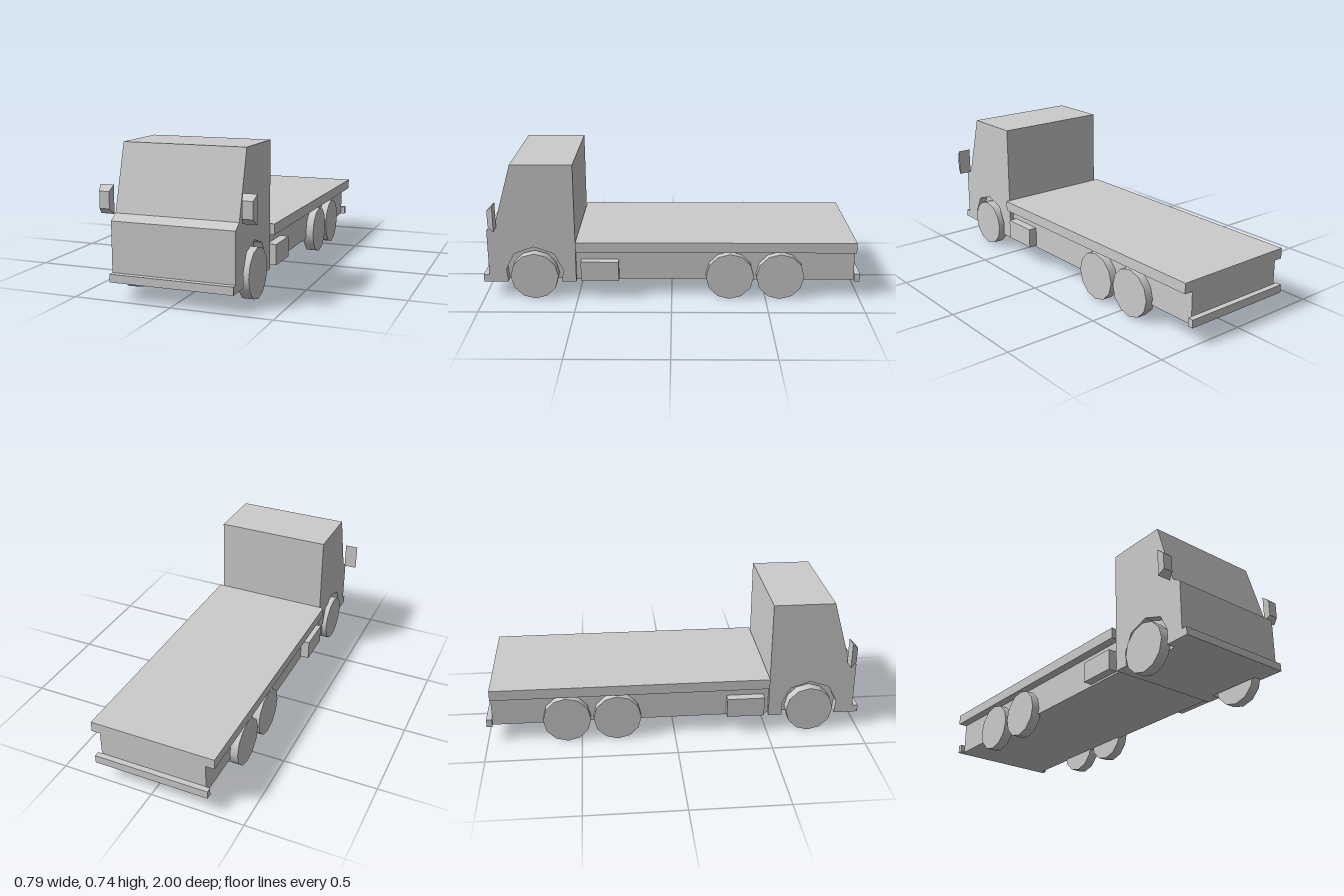
import * as THREE from 'three';

export function createModel() {
  const truck = new THREE.Group();
  const mat = new THREE.MeshStandardMaterial({ color: 0xcccccc });

  function add(name, geo, x = 0, y = 0, z = 0) {
    const mesh = new THREE.Mesh(geo, mat);
    mesh.name = name;
    mesh.position.set(x, y, z);
    truck.add(mesh);
    return mesh;
  }

  // box given by its limits on each axis
  function box(name, [x0, x1], [y0, y1], [z0, z1]) {
    return add(name, new THREE.BoxGeometry(x1 - x0, y1 - y0, z1 - z0),
      (x0 + x1) / 2, (y0 + y1) / 2, (z0 + z1) / 2);
  }

  // side profile of (z, y) points, extruded across x from x0 to x1
  function slab(name, points, x0, x1) {
    const shape = new THREE.Shape(points.map(p => new THREE.Vector2(...p)));
    const geo = new THREE.ExtrudeGeometry(shape, { depth: x1 - x0, bevelEnabled: false });
    geo.rotateY(-Math.PI / 2);
    return add(name, geo, x1);
  }

  // cab: solid core, with side panels that carry the wheel arches
  const outline = [[1, 0.09], [1, 0.13], [0.97, 0.13], [0.97, 0.378], [0.925, 0.408],
    [0.83, 0.735], [0.508, 0.735], [0.508, 0.09]];
  const arch = [[0.583, 0.09], [0.577, 0.16], [0.622, 0.25], [0.727, 0.287],
    [0.832, 0.25], [0.877, 0.16], [0.87, 0.09]];
  slab('cabCore', outline, -0.265, 0.265);
  slab('leftCabSide', [...outline, ...arch], 0.265, 0.312);
  slab('rightCabSide', [...outline, ...arch], -0.312, -0.265);

  // load bed and chassis
  box('loadBed', [-0.335, 0.335], [0.265, 0.32], [-0.97, 0.505]);
  box('chassis', [-0.288, 0.288], [0.095, 0.266], [-0.97, 0.51]);
  box('rearBumper', [-0.31, 0.31], [0.095, 0.138], [-1, -0.97]);

  // mirror housing: a box whose front face is drawn in
  const housing = new THREE.BoxGeometry(0.071, 0.14, 0.03);
  const pos = housing.attributes.position;
  for (let i = 0; i < pos.count; i++) {
    if (pos.getZ(i) > 0) pos.setXY(i, pos.getX(i) * 0.73, pos.getY(i) * 0.59);
  }
  housing.computeVertexNormals();

  // wheel with twelve sides, axle along x
  const wheel = new THREE.CylinderGeometry(0.127, 0.127, 0.056, 12);
  wheel.rotateZ(Math.PI / 2);

  for (const [side, s] of [['left', 1], ['right', -1]]) {
    add(side + 'Mirror', housing, s * 0.359, 0.47, 0.93);
    box(side + 'FuelTank', s > 0 ? [0.27, 0.335] : [-0.335, -0.27], [0.105, 0.211], [0.28, 0.48]);
    [['Front', 0.727], ['Middle', -0.308], ['Rear', -0.575]].forEach(([name, z]) =>
      add(side + name + 'Wheel', wheel, s * 0.302, 0.127, z));
  }
  return truck;
}
